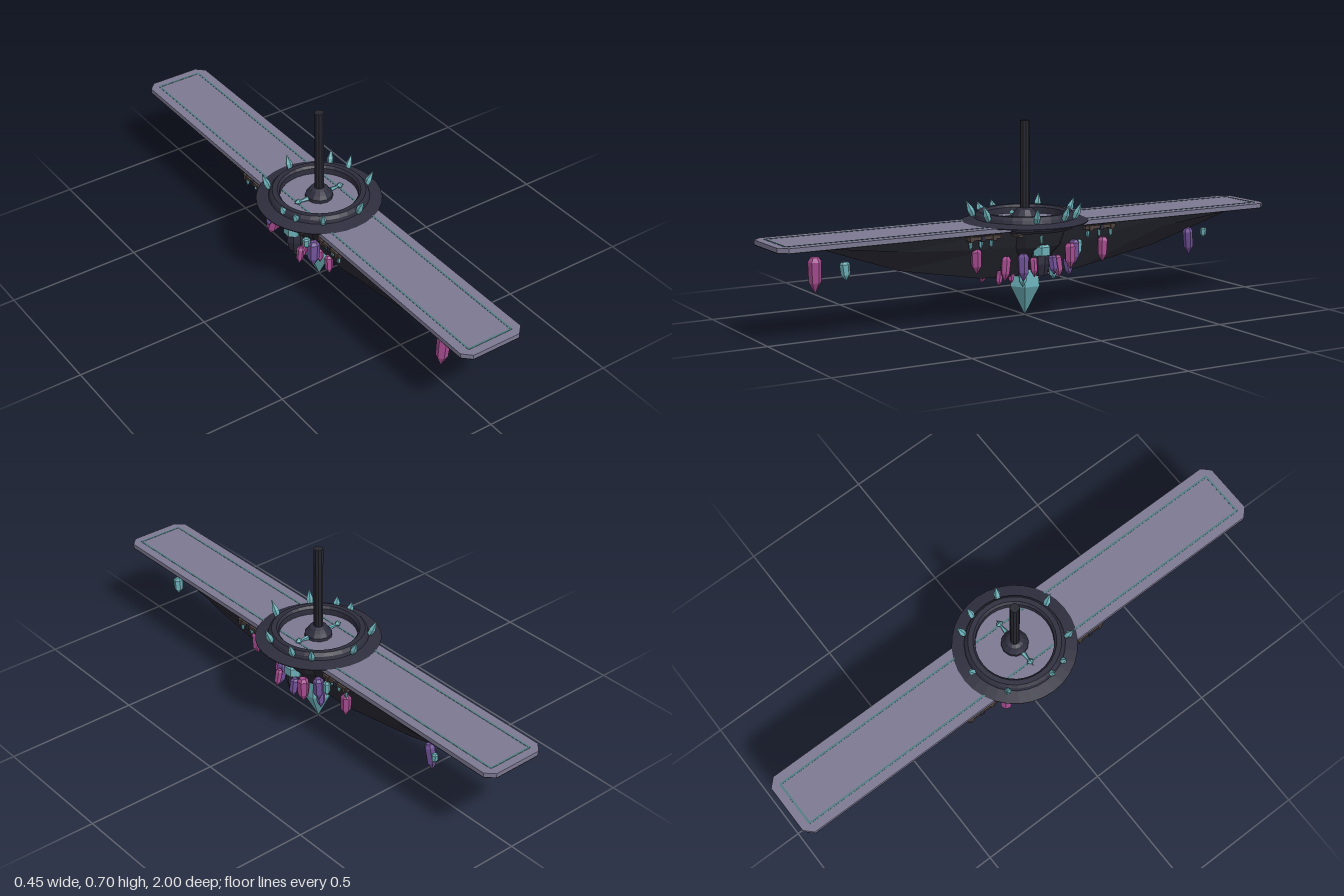
import * as THREE from 'three';

const mat = (name, color) => {
  const m = new THREE.MeshStandardMaterial({ color, flatShading: true });
  m.name = name;
  return m;
};

export function createModel() {
  const deckGrey = mat('deck grey', 0x7b7891);
  const hullDark = mat('hull dark', 0x262630);
  const ringDark = mat('ring slate', 0x2e2d3d);
  const teal = mat('teal crystal', 0x6aaeb6);
  const magenta = mat('magenta crystal', 0xa64c90);
  const purple = mat('purple crystal', 0x6e5096);
  const brown = mat('brown bracket', 0x4d413d);
  const lineTeal = mat('inlay teal', 0x4f7c80);

  const root = new THREE.Group();
  root.name = 'crystalSkyPlatform';
  const add = (name, geo, material, x = 0, y = 0, z = 0) => {
    const m = new THREE.Mesh(geo, material);
    m.name = name;
    m.position.set(x, y, z);
    root.add(m);
    return m;
  };
  const lathe = (pts, n) => new THREE.LatheGeometry(pts.map(p => new THREE.Vector2(...p)), n);
  const box = (w, h, d) => new THREE.BoxGeometry(w, h, d);

  // Long deck with clipped corners and a dark underside
  const W = 0.125, C = 0.03;
  const deckShape = new THREE.Shape([
    [-W + C, -1], [W - C, -1], [W, -1 + C], [W, 1 - C],
    [W - C, 1], [-W + C, 1], [-W, 1 - C], [-W, -1 + C],
  ].map(p => new THREE.Vector2(...p)));
  const slab = depth => new THREE.ExtrudeGeometry(deckShape, { depth, bevelEnabled: false }).rotateX(-Math.PI / 2);
  add('deck', slab(0.015), deckGrey, 0, 0.332, 0);
  add('deckUnderside', slab(0.003), hullDark, 0, 0.329, 0);

  // Thin inlay frame on the deck
  for (const s of [-1, 1]) {
    add('inlaySide', box(0.007, 0.002, 1.934), lineTeal, s * 0.088, 0.347, 0);
    add('inlayEnd', box(0.176, 0.002, 0.007), lineTeal, 0, 0.347, s * 0.966);
  }

  // Keel hull lofted through stations: [z, top half width, bottom half width, bottom y]
  const stations = [
    [-0.84, 0.115, 0.05, 0.326], [-0.53, 0.118, 0.045, 0.218], [-0.2, 0.118, 0.035, 0.157], [0, 0.118, 0.03, 0.15],
    [0.2, 0.118, 0.035, 0.157], [0.53, 0.118, 0.045, 0.218], [0.84, 0.115, 0.05, 0.326],
  ];
  const pos = [], idx = [];
  for (const [z, a, b, y] of stations) {
    const midY = 0.331 - (0.331 - y) * 0.35, mid = a * 0.72 + b * 0.28;
    for (const [px, py] of [[-a, 0.331], [-mid, midY], [-b, y], [b, y], [mid, midY], [a, 0.331]]) pos.push(px, py, z);
  }
  for (let s = 0; s < stations.length - 1; s++) {
    for (let k = 0; k < 6; k++) {
      const i = s * 6 + k, j = s * 6 + (k + 1) % 6;
      idx.push(i, j, i + 6, j, j + 6, i + 6);
    }
  }
  const last = (stations.length - 1) * 6;
  for (let k = 1; k < 5; k++) {
    idx.push(0, k + 1, k);
    idx.push(last, last + k, last + k + 1);
  }
  const hullGeo = new THREE.BufferGeometry();
  hullGeo.setAttribute('position', new THREE.Float32BufferAttribute(pos, 3));
  hullGeo.setIndex(idx);
  hullGeo.computeVertexNormals();
  add('keelHull', hullGeo, hullDark);

  // Central bowl and side pods
  add('bowl', lathe([[0, 0.17], [0.06, 0.175], [0.105, 0.23], [0.135, 0.265], [0.158, 0.326]], 12), hullDark);
  for (const s of [-1, 1]) {
    add('sidePod', lathe([[0, -0.045], [0.025, -0.042], [0.035, 0], [0.032, 0.05], [0, 0.055]], 8), ringDark, s * 0.105, 0.205, 0);
    add('podCap', lathe([[0, -0.02], [0.034, -0.02], [0.034, 0.01], [0.026, 0.018], [0, 0.018]], 6), teal, s * 0.115, 0.257, 0);
  }

  // Mast ring, floor and mast
  add('ring', lathe([
    [0, 0.322], [0.172, 0.322], [0.18, 0.332], [0.18, 0.345], [0.227, 0.344], [0.227, 0.347],
    [0.182, 0.357], [0.178, 0.37], [0.168, 0.381], [0.15, 0.381], [0.142, 0.372], [0.141, 0.348],
  ], 32), ringDark);
  add('ringFloor', new THREE.CylinderGeometry(0.143, 0.143, 0.004, 32), deckGrey, 0, 0.348, 0);
  for (const s of [-1, 1]) add('floorInlay', box(0.007, 0.002, 0.22), lineTeal, s * 0.088, 0.35, 0);
  add('mastBase', lathe([[0.05, 0.348], [0.05, 0.362], [0.04, 0.375], [0.033, 0.386], [0.022, 0.392], [0, 0.392]], 12), ringDark);
  add('mast', new THREE.CylinderGeometry(0.0175, 0.0175, 0.355, 10), hullDark, 0, 0.5275, 0);
  for (const s of [-1, 1]) {
    const c = add('floorShard', new THREE.ConeGeometry(0.009, 0.06, 5), teal, s * 0.08, 0.358, 0);
    c.rotation.z = -s * Math.PI / 2;
    add('floorStud', new THREE.OctahedronGeometry(0.014), teal, s * 0.09, 0.36, 0);
  }

  // Spikes around the ring, leaning outward: [x, z, height]
  const up = new THREE.Vector3(0, 1, 0);
  for (const [x, z, h] of [
    [0, -0.185, 0.055], [0.135, -0.125, 0.06], [-0.13, -0.13, 0.06], [0.168, -0.06, 0.06], [0.17, 0.055, 0.06],
    [-0.172, 0.03, 0.04], [-0.095, 0.16, 0.06], [0.045, 0.176, 0.065], [-0.16, 0.09, 0.04],
  ]) {
    const spike = add('ringSpike', lathe([[0, -0.01], [0.01, 0], [0.013, h * 0.35], [0, h]], 5), teal, x, 0.364, z);
    spike.quaternion.setFromUnitVectors(up, new THREE.Vector3(x * 2.5, 1, z * 2.5).normalize());
  }

  // Great crystal under the keel
  add('greatCrystal', lathe([[0, 0], [0.06, 0.11], [0.054, 0.165], [0.03, 0.2], [0, 0.2]], 6), teal);

  // Hanging crystal: top at y, pointed tip below
  const crystal = (name, m, x, y, z, h, r, tx = 0, tz = 0) => {
    const g = lathe([[0, -h], [r * 0.9, -h * 0.68], [r, -h * 0.12], [r * 0.6, 0], [0, 0]], 6);
    const c = add(name, g, m, x, y, z);
    c.rotation.set(tx, x + z, tz);
  };
  // Free-floating crystals along the deck
  for (const [m, x, y, z, h, r, tx, tz] of [
    [magenta, -0.053, 0.276, 0.8, 0.13, 0.024, 0.08, -0.08],
    [teal, 0.076, 0.275, 0.75, 0.065, 0.018, 0.05, 0.05],
    [purple, 0.075, 0.272, -0.665, 0.108, 0.019, 0.08, -0.1],
    [teal, 0.1, 0.272, -0.72, 0.038, 0.012, 0, 0],
    [magenta, 0.085, 0.276, 0.25, 0.092, 0.02, 0.03, 0],
    [magenta, 0.1, 0.276, -0.27, 0.092, 0.02, -0.03, 0],
    [magenta, 0.152, 0.276, -0.095, 0.095, 0.021, 0.02, 0],
    [purple, -0.15, 0.272, -0.1, 0.05, 0.015, 0, 0],
    [teal, -0.125, 0.275, 0.1, 0.045, 0.015, 0, 0],
    [purple, 0.115, 0.28, -0.135, 0.09, 0.02, 0.05, 0],
    [teal, 0.1, 0.275, -0.165, 0.06, 0.014, 0, 0],
  ]) crystal('floatingCrystal', m, x, y, z, h, r, tx, tz);

  // Cluster on the flanks of the bowl: [material, x, top y, z, height, radius]
  for (const [m, x, y, z, h, r] of [
    [purple, -0.092, 0.247, 0.1, 0.098, 0.023], [magenta, -0.115, 0.2, 0.05, 0.068, 0.014],
    [magenta, -0.11, 0.24, -0.12, 0.09, 0.023], [purple, -0.1, 0.19, -0.03, 0.055, 0.016],
    [magenta, -0.053, 0.188, 0.135, 0.072, 0.016], [magenta, -0.085, 0.19, 0.03, 0.055, 0.013],
    [purple, 0.105, 0.245, 0.07, 0.1, 0.021], [magenta, 0.115, 0.23, -0.06, 0.08, 0.02],
    [purple, 0.135, 0.235, -0.03, 0.07, 0.017], [magenta, 0.073, 0.235, 0.12, 0.09, 0.018],
    [teal, 0.068, 0.185, 0.05, 0.068, 0.016], [magenta, 0.14, 0.235, 0.05, 0.07, 0.014],
    [magenta, 0.045, 0.18, 0.13, 0.056, 0.013], [purple, 0.09, 0.21, -0.12, 0.065, 0.016],
    [magenta, -0.045, 0.175, 0.07, 0.055, 0.013], [magenta, 0.025, 0.17, 0.07, 0.045, 0.012],
    [magenta, 0, 0.165, 0.06, 0.042, 0.01], [magenta, -0.025, 0.165, -0.07, 0.045, 0.011],
    [teal, 0.055, 0.185, -0.08, 0.055, 0.015], [magenta, -0.07, 0.195, -0.15, 0.06, 0.015],
  ]) crystal('clusterCrystal', m, x, y, z, h, r, -z * 1.3, x * 1.3);

  // Side brackets with tiny hanging shards
  for (const s of [-1, 1]) {
    for (const e of [-1, 1]) {
      add('bracketRail', box(0.014, 0.012, 0.13), brown, s * 0.122, 0.319, e * 0.24);
      for (let i = 0; i < 3; i++) {
        const z = e * (0.2 + i * 0.045);
        add('bracketClamp', box(0.034, 0.02, 0.014), i === 1 ? ringDark : brown, s * 0.115, 0.317, z);
        crystal('bracketShard', teal, s * (0.106 + i * 0.006), 0.312, z, 0.036, 0.007);
      }
    }
    add('hubBracket', box(0.06, 0.008, 0.02), brown, s * 0.13, 0.319, 0.11);
  }
  crystal('hubShard', teal, 0.163, 0.315, 0.03, 0.035, 0.006);

  return root;
}
